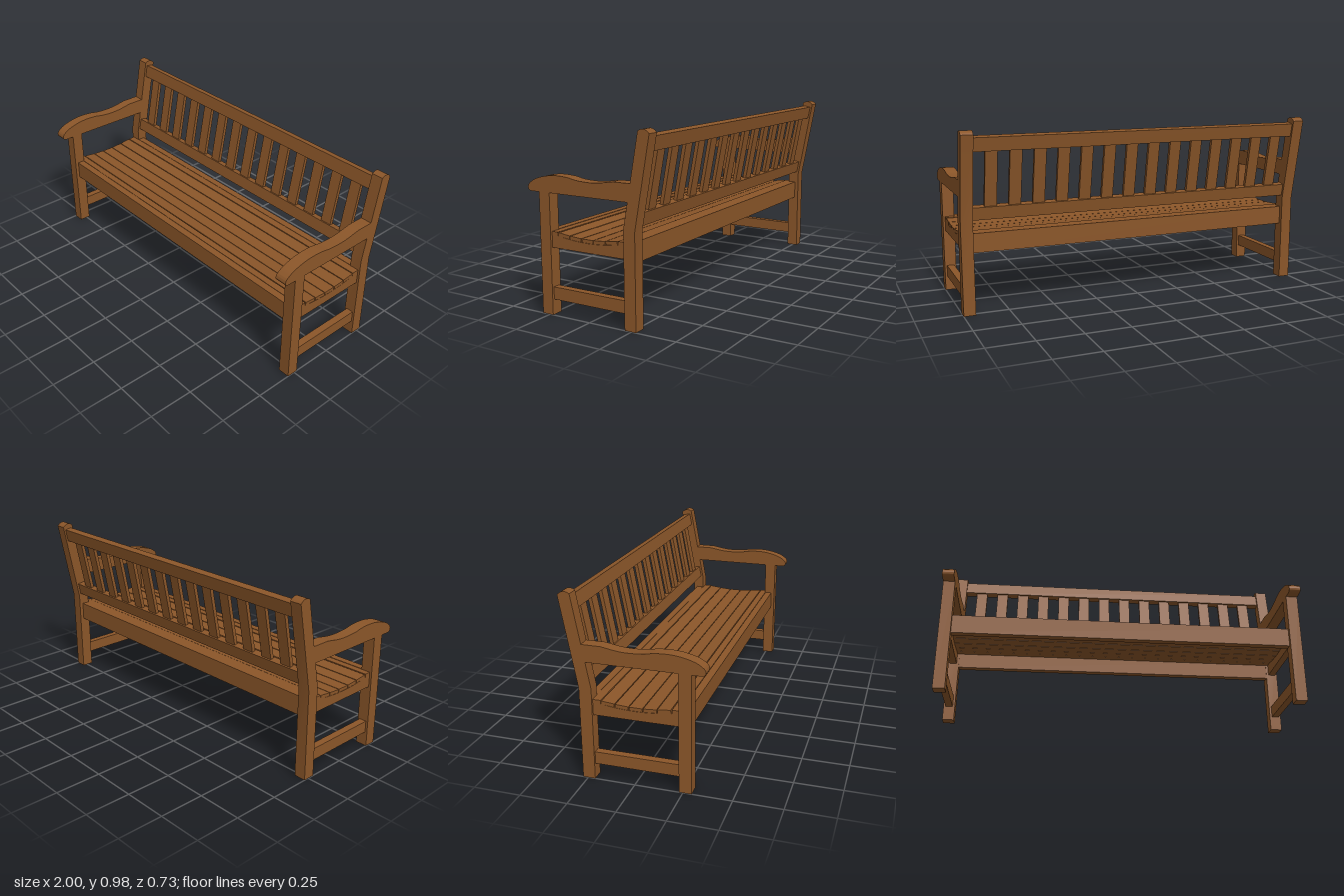
import * as THREE from 'three';
import { toCreasedNormals } from 'three/addons/utils/BufferGeometryUtils.js';

const wood = new THREE.MeshStandardMaterial({ color: 0x8b5629 });
wood.name = 'brown wood';

const POST = 0.065;          // post width along x
const SIDE = 1 - POST / 2;   // x of the end frames
const INNER = 2 * (1 - POST); // length between the end frames

function add(parent, name, geometry, x = 0, y = 0, z = 0) {
  const mesh = new THREE.Mesh(geometry, wood);
  mesh.name = name;
  mesh.position.set(x, y, z);
  parent.add(mesh);
  return mesh;
}

// Box given by its y and z ranges, centred on x
function beam(parent, name, length, y0, y1, z0, z1, x = 0) {
  return add(parent, name, new THREE.BoxGeometry(length, y1 - y0, z1 - z0), x, (y0 + y1) / 2, (z0 + z1) / 2);
}

// Side profile drawn in (z, y), extruded along x and centred on x = 0
function profile(shape, width) {
  const g = new THREE.ExtrudeGeometry(shape, { depth: width, bevelEnabled: false, curveSegments: 8 });
  g.rotateY(-Math.PI / 2).translate(width / 2, 0, 0);
  return toCreasedNormals(g, 0.5);
}

const points = (list) => list.map(([z, y]) => new THREE.Vector2(z, y));

function backPostShape() {
  const s = new THREE.Shape();
  s.moveTo(-0.277, 0);
  s.lineTo(-0.212, 0);
  s.lineTo(-0.212, 0.495);
  s.lineTo(-0.3, 0.967);
  s.quadraticCurveTo(-0.335, 0.99, -0.363, 0.957);
  s.lineTo(-0.277, 0.49);
  s.closePath();
  return s;
}

function armShape() {
  const s = new THREE.Shape();
  s.moveTo(-0.24, 0.63);
  s.lineTo(0.35, 0.63);
  s.splineThru(points([[0.362, 0.638], [0.365, 0.652], [0.357, 0.668]]));
  s.splineThru(points([[0.325, 0.69], [0.28, 0.706], [0.225, 0.717], [0.17, 0.72], [0.11, 0.716],
    [0.06, 0.707], [-0.01, 0.703], [-0.07, 0.706], [-0.12, 0.714], [-0.155, 0.72]]));
  s.lineTo(-0.258, 0.72);
  s.closePath();
  return s;
}

function seatRailShape() {
  const s = new THREE.Shape();
  s.moveTo(-0.215, 0.35);
  s.lineTo(0.235, 0.35);
  s.lineTo(0.235, 0.414);
  s.lineTo(0.19, 0.414);
  s.quadraticCurveTo(0.01, 0.383, -0.17, 0.414);
  s.lineTo(-0.215, 0.414);
  s.closePath();
  return s;
}

export function createModel() {
  const bench = new THREE.Group();
  bench.name = 'bench';

  // End frames: legs, arm, seat rail and stretcher
  const postGeo = profile(backPostShape(), POST);
  const armGeo = profile(armShape(), POST);
  const railGeo = profile(seatRailShape(), 0.04);
  for (const side of [1, -1]) {
    const frame = new THREE.Group();
    frame.name = side > 0 ? 'leftEndFrame' : 'rightEndFrame';
    frame.position.x = side * SIDE;
    bench.add(frame);
    beam(frame, 'frontLeg', POST, 0, 0.631, 0.23, 0.295);
    add(frame, 'backPost', postGeo);
    add(frame, 'armrest', armGeo);
    add(frame, 'seatSideRail', railGeo);
    beam(frame, 'stretcher', 0.04, 0.08, 0.145, -0.215, 0.235);
  }

  // Long rails under the seat
  beam(bench, 'frontApron', INNER, 0.33, 0.434, 0.235, 0.275);
  beam(bench, 'rearApron', INNER, 0.33, 0.434, -0.255, -0.215);

  // Dished seat slats
  const slatLength = 1.975;
  beam(bench, 'frontSeatSlat', slatLength, 0.414, 0.433, 0.194, 0.232);
  beam(bench, 'rearSeatSlat', slatLength, 0.414, 0.433, -0.214, -0.171);
  const slatGeo = new THREE.BoxGeometry(slatLength, 0.018, 0.068);
  const tops = [0.418, 0.4205, 0.4275];
  const tilts = [0, 0.07, 0.11];
  for (let i = -2; i <= 2; i++) {
    const k = Math.abs(i);
    const slat = add(bench, 'seatSlat', slatGeo, 0, tops[k] - 0.009, 0.0105 + i * 0.0722);
    slat.rotation.x = -Math.sign(i) * tilts[k];
  }

  // Leaning backrest
  const back = new THREE.Group();
  back.name = 'backrest';
  back.position.set(0, 0.495, -0.2445);
  back.rotation.x = -0.187;
  bench.add(back);
  beam(back, 'lowerBackRail', INNER, 0.014, 0.083, -0.02, 0.02);
  beam(back, 'upperBackRail', INNER, 0.383, 0.457, -0.02, 0.02);
  for (let i = 0; i < 14; i++) {
    beam(back, 'backSlat', 0.065, 0.08, 0.386, -0.01, 0.01, (i - 6.5) * 0.129);
  }
  return bench;
}
